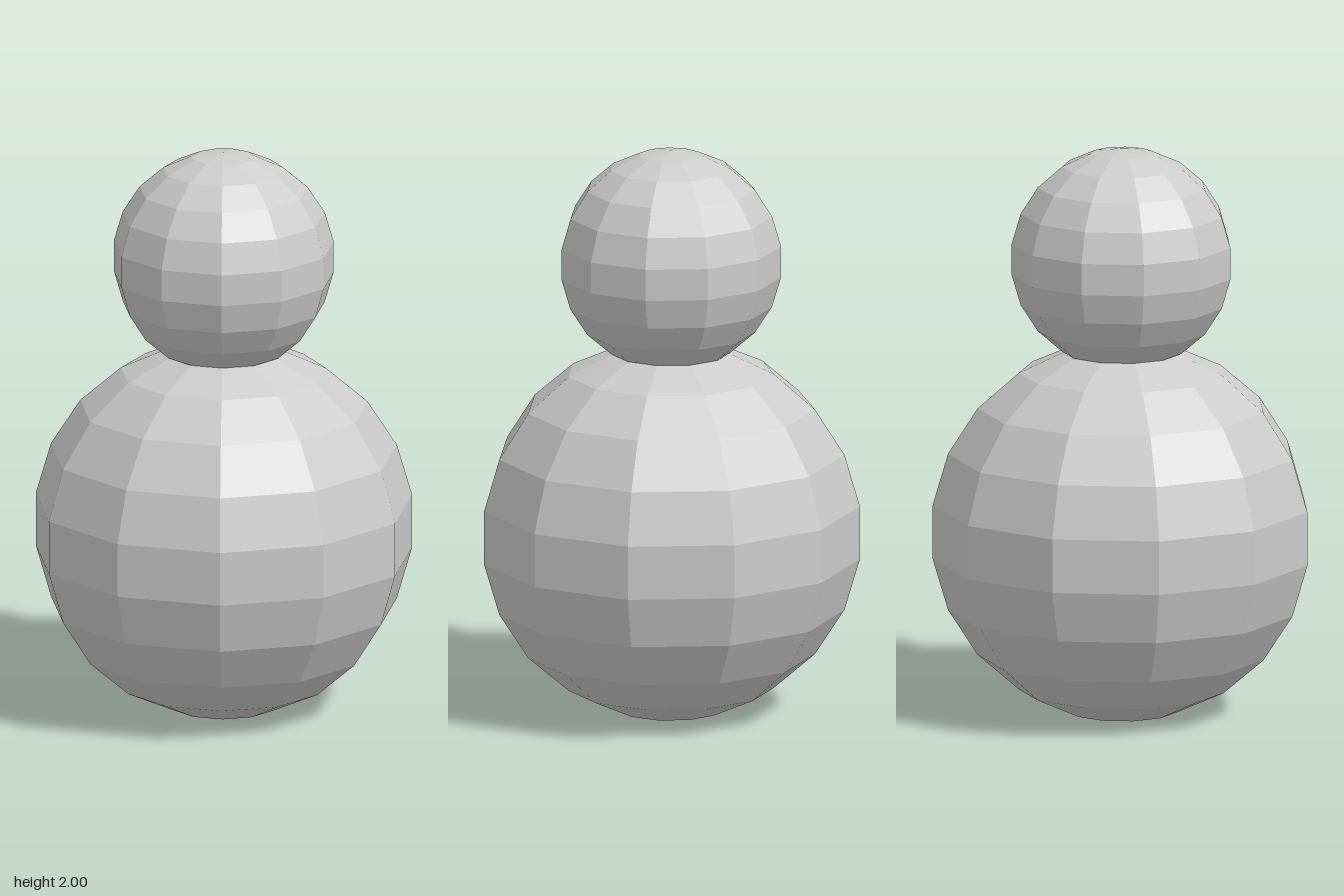
import * as THREE from 'three';

const SIDES = 11;

// Faceted ball with a corner of its ring pointing straight back
function ball(name, radius, y, material) {
  const geometry = new THREE.SphereGeometry(radius, SIDES, SIDES, -Math.PI / 2);
  const mesh = new THREE.Mesh(geometry, material);
  mesh.name = name;
  mesh.position.set(0, y, 0.011);
  return mesh;
}

export function createModel() {
  const group = new THREE.Group();
  group.name = 'stackedBalls';
  const material = new THREE.MeshStandardMaterial({ color: 0xcccccc, flatShading: true });

  // Large lower ball, its bottom flattened to rest on the ground
  const bodyY = 0.645;
  const body = ball('body', 0.668, bodyY, material);
  const points = body.geometry.attributes.position;
  for (let i = 0; i < points.count; i++) {
    points.setY(i, Math.max(points.getY(i), -bodyY));
  }
  body.geometry.computeVertexNormals();

  // Small upper ball, sunk slightly into the body
  const head = ball('head', 0.39, 1.61, material);

  group.add(body, head);
  return group;
}
